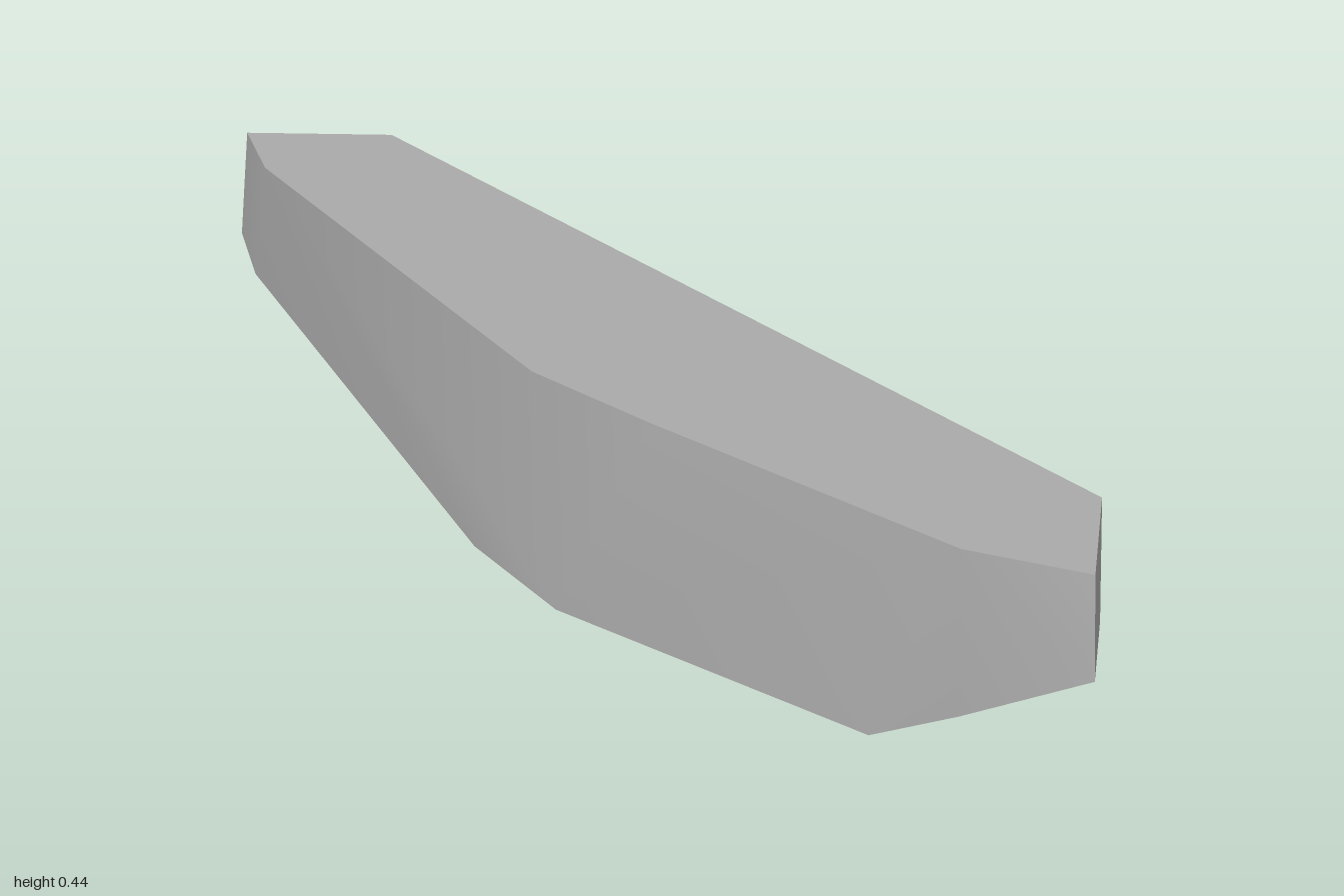
import * as THREE from 'three';
import { toCreasedNormals } from 'three/addons/utils/BufferGeometryUtils.js';
import { ConvexGeometry } from 'three/addons/geometries/ConvexGeometry.js';

const TOP = 0.445, END = 0.235;

// A ring of [x, z] corners lifted to one height
const ring = (y, corners) => corners.map(([x, z]) => new THREE.Vector3(x, y, z));

export function createModel() {
  const group = new THREE.Group();
  const stone = new THREE.MeshStandardMaterial({ color: 0xaaaaaa });
  stone.name = 'stone grey';

  const points = [
    // flat top deck
    ...ring(TOP, [[-0.84, -1], [-0.565, -1], [0.845, 0.615], [0.845, 0.97],
      [0.585, 0.86], [-0.025, 0.305], [-0.26, 0.075], [-0.8, -0.84]]),
    // lower edges of the two cut ends
    ...ring(END, [[-0.85, -1], [-0.64, -1], [0.845, 0.72], [0.845, 1]]),
    // bends along the ramped undersides
    ...ring(0.205, [[-0.82, -0.88]]),
    ...ring(0.094, [[0.58, 0.86]]),
    // flat base
    ...ring(0, [[-0.375, -0.095], [-0.13, -0.095], [0.405, 0.505], [0.405, 0.745], [-0.21, 0.19]]),
  ];

  // Faceted slab, with soft shading over the shallow bends of its walls
  const slab = new THREE.Mesh(toCreasedNormals(new ConvexGeometry(points), 0.5), stone);
  slab.name = 'slab';
  group.add(slab);
  return group;
}
